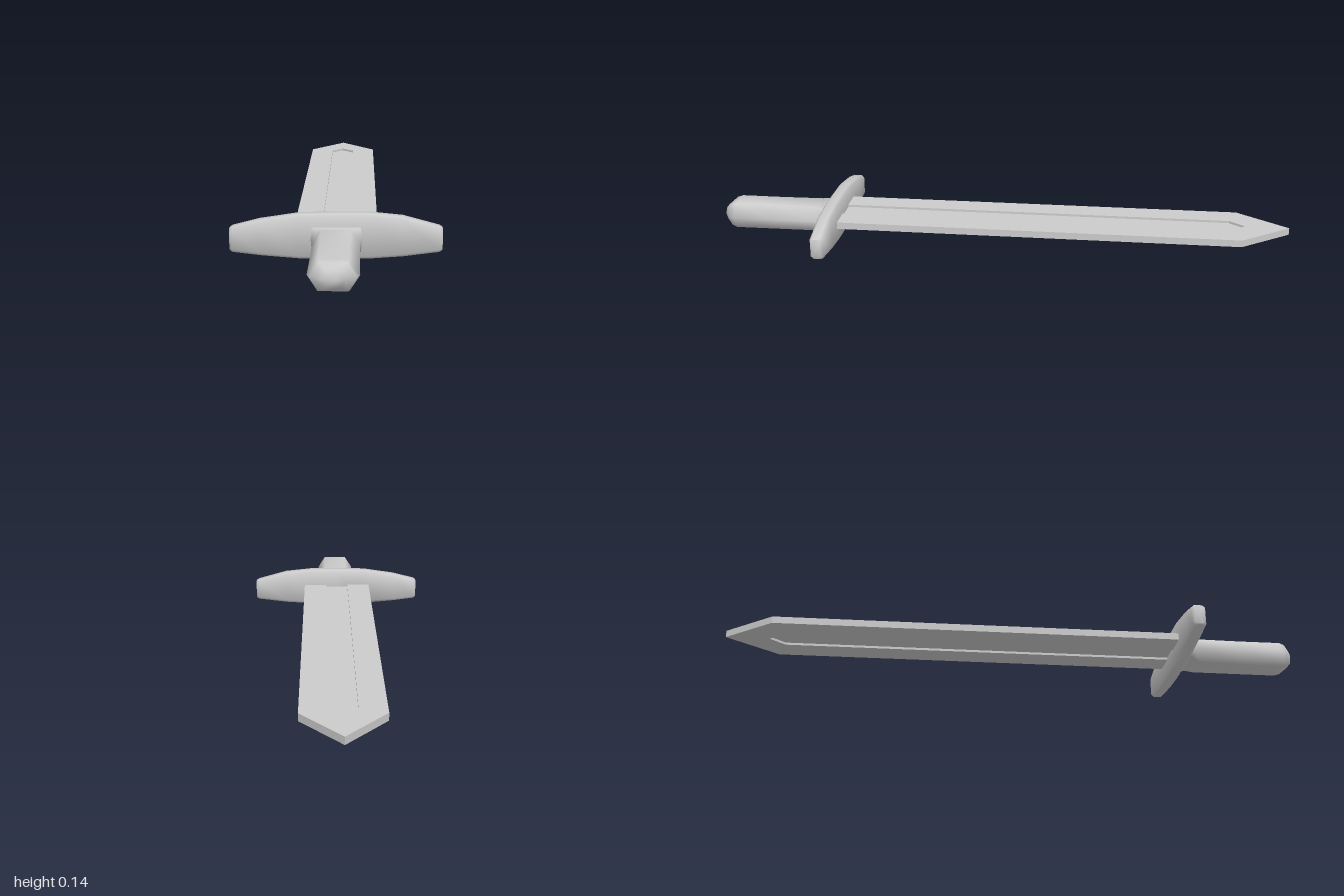
import * as THREE from 'three';
import { toCreasedNormals } from 'three/addons/utils/BufferGeometryUtils.js';

const material = new THREE.MeshStandardMaterial({ color: 0xcccccc });

function addMesh(group, name, geometry) {
  const mesh = new THREE.Mesh(geometry, material);
  mesh.name = name;
  group.add(mesh);
}

// Skin over rings of equal point count, closed at both ends by a centre point.
// Rings run counter-clockwise as seen from the end they lead to.
function loft(rings, startPoint, endPoint) {
  const n = rings[0].length;
  const positions = [...rings.flat(), startPoint, endPoint].flat();
  const start = rings.length * n, end = start + 1, last = start - n;
  const index = [];
  for (let j = 0; j < n; j++) {
    const k = (j + 1) % n;
    for (let i = 0; i < rings.length - 1; i++) {
      const a = i * n + j, b = i * n + k;
      index.push(a, b, b + n, a, b + n, a + n);
    }
    index.push(start, k, j, end, last + j, last + k);
  }
  const geometry = new THREE.BufferGeometry();
  geometry.setAttribute('position', new THREE.Float32BufferAttribute(positions, 3));
  geometry.setIndex(index);
  geometry.computeVertexNormals();
  return geometry;
}

// Flat plate drawn in plan as [x, z] and given a thickness from y0 to y1.
function plate(outline, y0, y1) {
  const shape = new THREE.Shape(outline.map(([x, z]) => new THREE.Vector2(x, -z)));
  const geometry = new THREE.ExtrudeGeometry(shape, { depth: y1 - y0, bevelEnabled: false });
  geometry.rotateX(-Math.PI / 2);
  geometry.translate(0, y0, 0);
  return geometry;
}

export function createModel() {
  const group = new THREE.Group();
  group.name = 'sword';

  // Blade: a pointed frame around a thinner core, leaving a groove on both faces
  const hilt = 0.57, cx = -0.003;
  const groove = [[cx + 0.043, hilt], [cx + 0.043, -0.8], [cx, -0.85], [cx - 0.043, -0.8], [cx - 0.043, hilt]];
  const frame = [[cx - 0.128, hilt], ...[...groove].reverse(), [cx + 0.128, hilt],
    [cx + 0.128, -0.83], [cx, -1], [cx - 0.128, -0.83]];
  addMesh(group, 'bladeFrame', plate(frame, 0.056, 0.08));
  addMesh(group, 'bladeCore', plate(groove, 0.064, 0.072));

  // Crossguard: chamfered sections [x, bottom, top], slightly slanted in plan
  const guardSections = [[-0.321, 0.026, 0.094], [-0.312, 0.021, 0.099], [-0.23, 0.011, 0.12], [-0.11, 0.001, 0.138],
    [0, 0, 0.14], [0.1, 0.001, 0.14], [0.2, 0.008, 0.13], [0.31, 0.022, 0.1], [0.319, 0.027, 0.095]];
  const guardRings = guardSections.map(([x, y0, y1], i) => {
    const h = i === 0 || i === guardSections.length - 1 ? 0.018 : 0.023;
    const z = 0.582 - 0.012 * x, c = 0.009;
    return [[y1, c - h], [y1, h - c], [y1 - c, h], [y0 + c, h], [y0, h - c], [y0, c - h], [y0 + c, -h], [y1 - c, -h]]
      .map(([y, dz]) => [x, y, z + dz]);
  });
  const guard = loft(guardRings, [-0.322, 0.06, 0.586], [0.32, 0.06, 0.578]);
  addMesh(group, 'crossguard', toCreasedNormals(guard, 1.0));

  // Grip: sections [z, half width, half height, centre y, corner], boxy at the guard and six-sided beyond
  const gripSections = [[0.59, 0.085, 0.04, 0.062, 0.95], [0.606, 0.077, 0.037, 0.062, 0.95],
    [0.625, 0.071, 0.037, 0.061, 0.85], [0.65, 0.071, 0.044, 0.057, 0.65], [0.8, 0.071, 0.045, 0.056, 0.6],
    [0.95, 0.072, 0.045, 0.056, 0.6], [0.968, 0.064, 0.04, 0.056, 0.6], [0.99, 0.032, 0.023, 0.055, 0.6]];
  const gripRings = gripSections.map(([z, w, h, y, c]) =>
    [[1, 0], [c, 1], [-c, 1], [-1, 0], [-c, -1], [c, -1]].map(([u, v]) => [u * w, y + v * h, z]));
  addMesh(group, 'grip', loft(gripRings, [0, 0.06, 0.59], [0.005, 0.054, 1]));

  return group;
}
